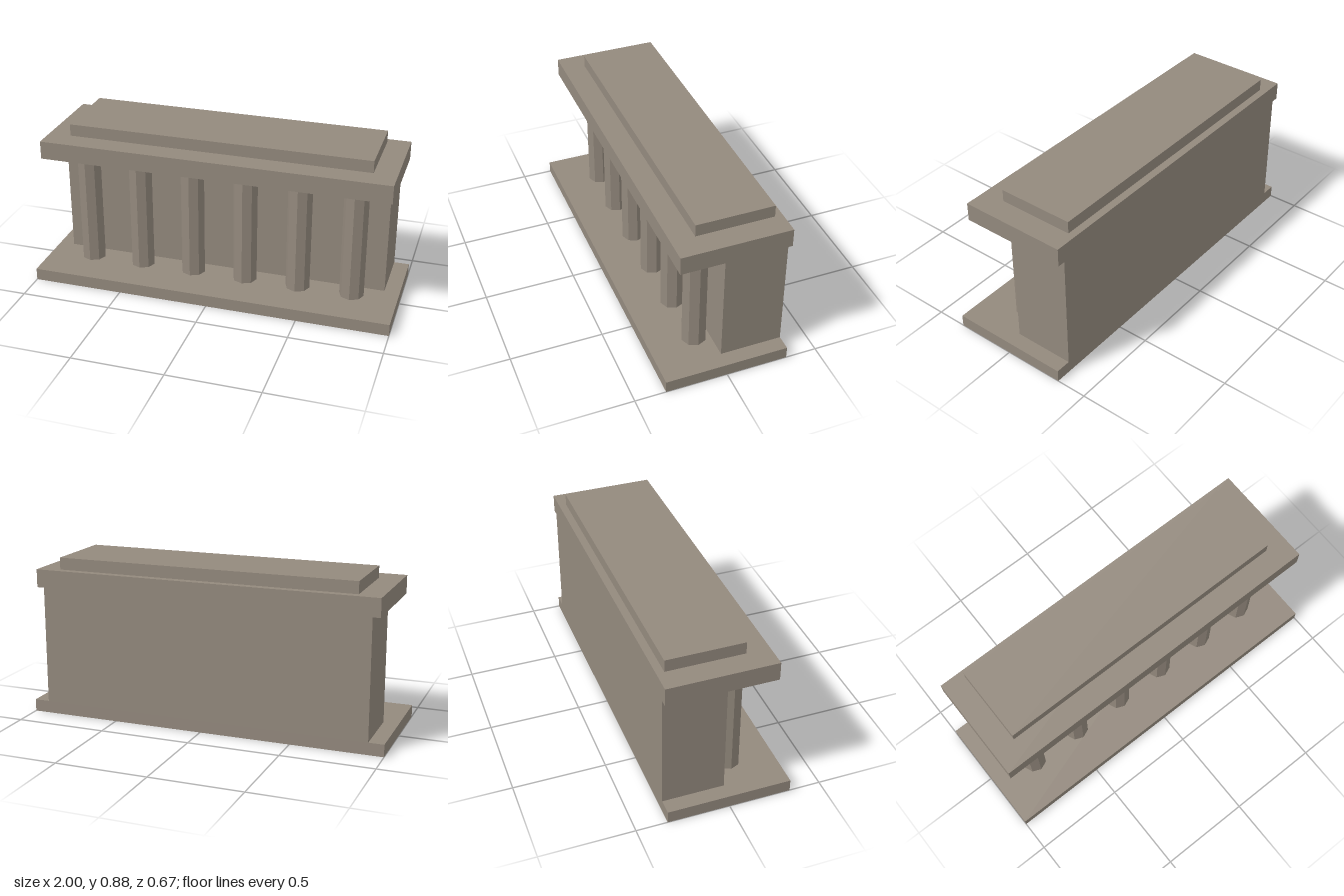
import * as THREE from 'three';

export function createModel() {
  const model = new THREE.Group();
  const stone = new THREE.MeshStandardMaterial({ color: 0x93897d, flatShading: true });

  // Box given by its width and its y and z extents, centred on x = 0
  function slab(name, width, y0, y1, z0, z1) {
    const mesh = new THREE.Mesh(new THREE.BoxGeometry(width, y1 - y0, z1 - z0), stone);
    mesh.name = name;
    mesh.position.set(0, (y0 + y1) / 2, (z0 + z1) / 2);
    model.add(mesh);
  }

  const floorY = 0.067, ceilingY = 0.717, backZ = -0.333;
  slab('base', 2, 0, floorY, backZ, 0.333);
  slab('mainBlock', 1.833, floorY, ceilingY, backZ, 0);
  slab('entablature', 1.915, ceilingY, 0.817, backZ, 0.25);
  slab('attic', 1.667, 0.817, 0.883, -0.292, 0.125);

  // Row of six octagonal columns along the front
  const colonnade = new THREE.Group();
  colonnade.name = 'colonnade';
  const columnGeometry = new THREE.CylinderGeometry(0.067, 0.067, ceilingY - floorY, 8);
  for (let i = 0; i < 6; i++) {
    const column = new THREE.Mesh(columnGeometry, stone);
    column.name = 'column';
    column.position.set(-0.75 + i * 0.3, (floorY + ceilingY) / 2, 0.083);
    colonnade.add(column);
  }
  model.add(colonnade);

  return model;
}
